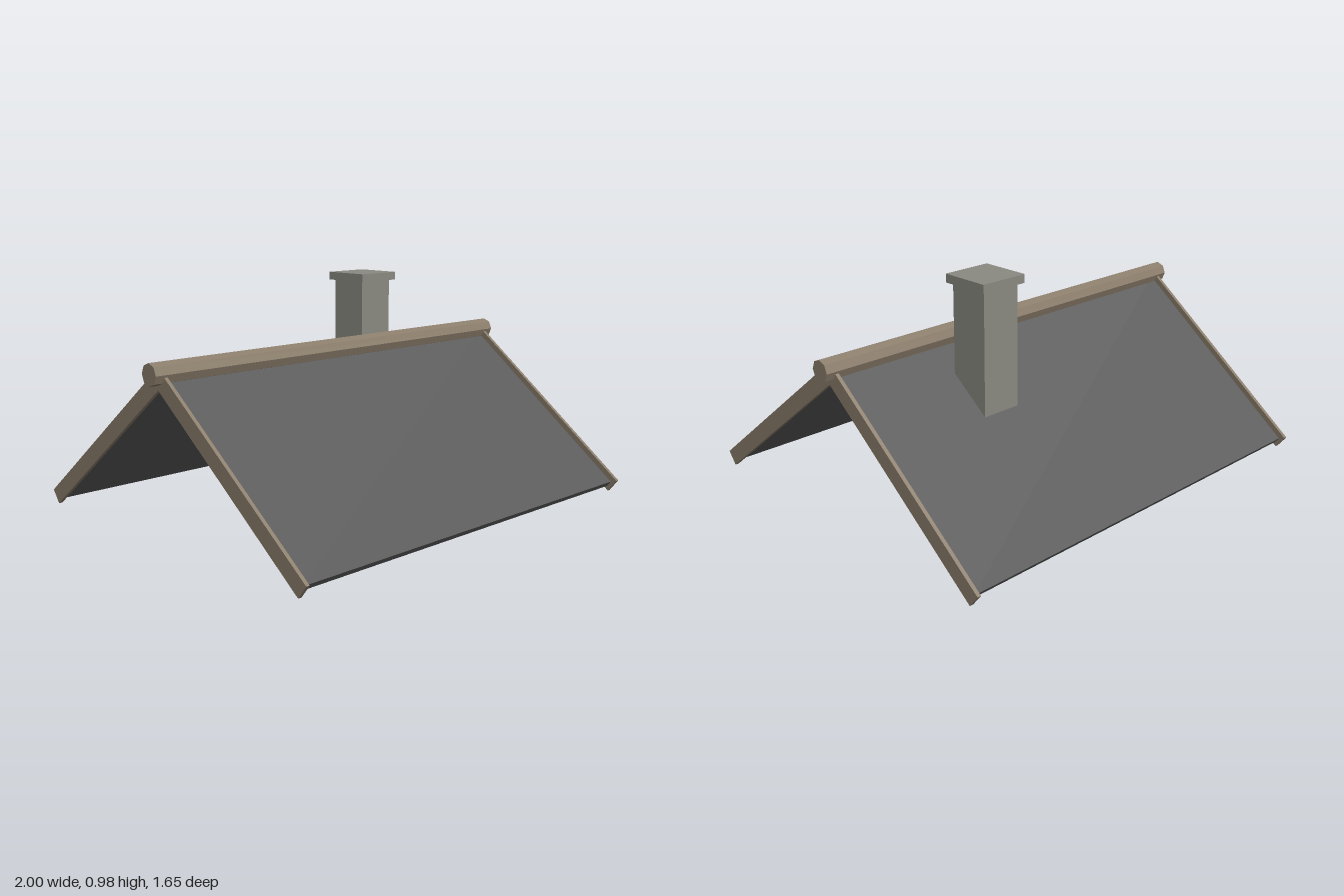
import * as THREE from 'three';

export function createModel() {
  const model = new THREE.Group();
  model.name = 'gableRoof';

  const flat = (name, color) => new THREE.MeshStandardMaterial({ name, color, flatShading: true });
  const slate = flat('slateGrey', 0x5a5a5a);
  const timber = flat('weatheredTimber', 0x8b7d6b);
  const stone = flat('chimneyStone', 0x8a8a82);

  const add = (parent, name, geometry, material, x = 0, y = 0, z = 0) => {
    const mesh = new THREE.Mesh(geometry, material);
    mesh.name = name;
    mesh.position.set(x, y, z);
    parent.add(mesh);
    return mesh;
  };

  // Pitched sides: each is built flat, running down local +z from the apex
  const pitch = Math.atan(0.777);
  const slabLength = 1.002;
  const boardLength = 1.019;
  for (const [side, dir] of [['front', 1], ['back', -1]]) {
    const slope = new THREE.Group();
    slope.name = side + 'Slope';
    slope.position.y = 0.658;
    slope.rotation.x = dir * pitch;
    add(slope, side + 'RoofPanel', new THREE.BoxGeometry(1.9, 0.03, slabLength), slate,
      0, -0.006, dir * slabLength / 2);
    // Barge boards along both gable ends
    for (const x of [-0.952, 0.952]) {
      add(slope, side + (x > 0 ? 'Left' : 'Right') + 'BargeBoard',
        new THREE.BoxGeometry(0.016, 0.068, boardLength), timber, x, 0, dir * boardLength / 2);
    }
    model.add(slope);
  }

  // Octagonal ridge beam along x
  const ridge = add(model, 'ridgeBeam', new THREE.CylinderGeometry(0.046, 0.046, 2, 8), timber, 0, 0.679, 0);
  ridge.rotation.z = Math.PI / 2;

  // Chimney passing through the back slope
  const chimney = new THREE.Group();
  chimney.name = 'chimney';
  chimney.position.set(0.362, 0, -0.226);
  add(chimney, 'chimneyStack', new THREE.BoxGeometry(0.178, 0.943, 0.178), stone, 0, 0.4715, 0);
  add(chimney, 'chimneyCap', new THREE.BoxGeometry(0.217, 0.036, 0.217), stone, 0, 0.961, 0);
  model.add(chimney);

  return model;
}
